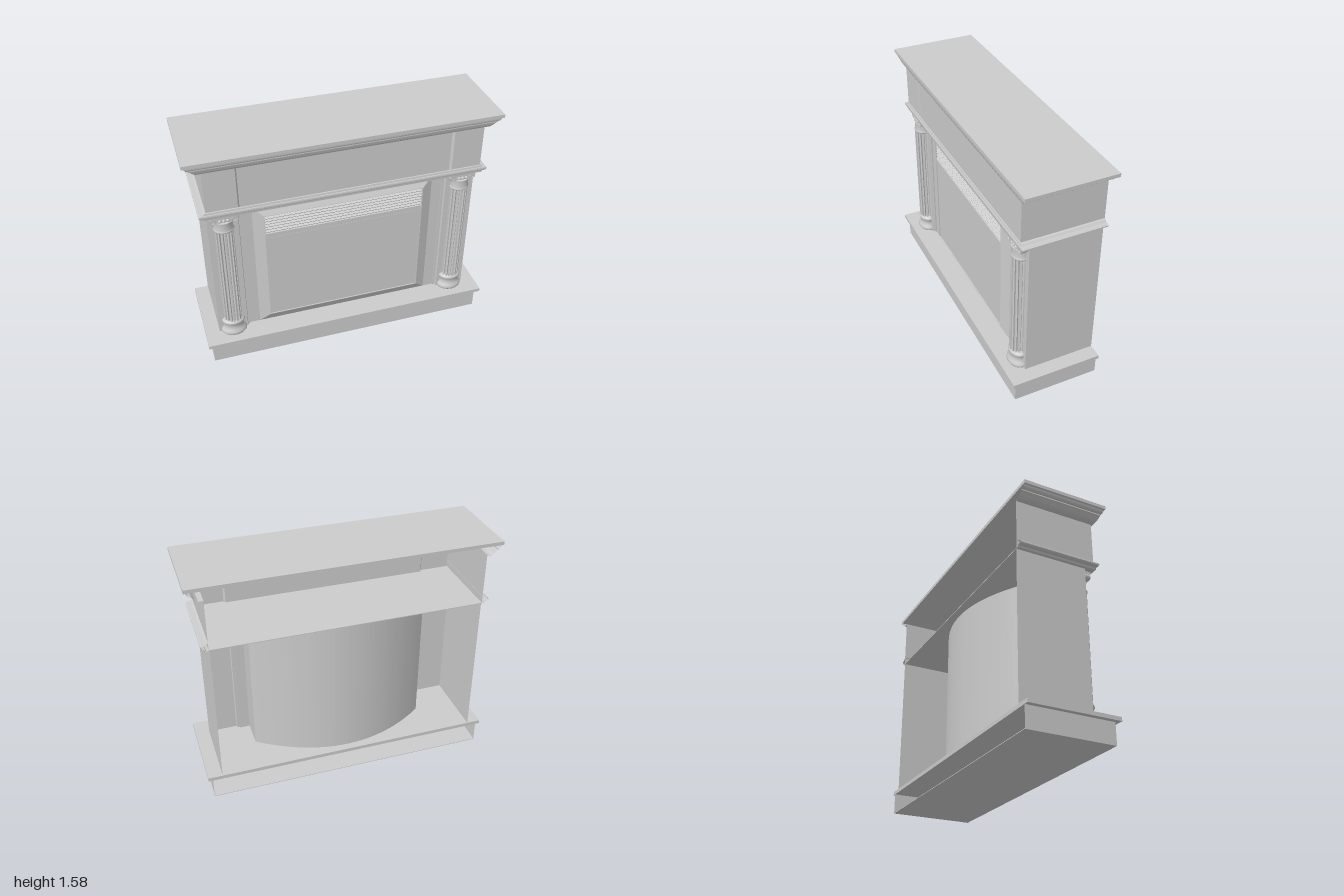
import * as THREE from 'three';

const flat = new THREE.MeshStandardMaterial({ color: 0xcccccc, flatShading: true, side: THREE.DoubleSide });
const smooth = new THREE.MeshStandardMaterial({ color: 0xcccccc, side: THREE.DoubleSide });

function mesh(parent, name, geometry, material = flat) {
  const m = new THREE.Mesh(geometry, material);
  m.name = name;
  parent.add(m);
  return m;
}

// Box given by its limits on each axis
function box(parent, name, [x0, x1], [y0, y1], [z0, z1]) {
  const m = mesh(parent, name, new THREE.BoxGeometry(x1 - x0, y1 - y0, z1 - z0));
  m.position.set((x0 + x1) / 2, (y0 + y1) / 2, (z0 + z1) / 2);
  return m;
}

// Surface through rows of [x, y, z] points, ordered left to right and bottom to top
function loft(parent, name, rows, material = flat) {
  const n = rows[0].length, index = [];
  for (let i = 0; i < rows.length - 1; i++) {
    for (let j = 0; j < n - 1; j++) {
      const a = i * n + j, b = a + 1, c = a + n, d = c + 1;
      index.push(a, b, d, a, d, c);
    }
  }
  const g = new THREE.BufferGeometry();
  g.setAttribute('position', new THREE.Float32BufferAttribute(rows.flat(2), 3));
  g.setIndex(index);
  g.computeVertexNormals();
  return mesh(parent, name, g, material);
}

// Upright sheet standing on a plan of [x, z] points
const sheet = (parent, name, plan, y0, y1, material) =>
  loft(parent, name, [y0, y1].map(y => plan.map(([x, z]) => [x, y, z])), material);

// Mirror a left-half plan to a full symmetric one
const mirrored = half => [...half, ...half.map(([x, z]) => [-x, z]).reverse()];

const BACK = -0.3;

// Moulding on the front and both sides; profile points are [outward share, y]
function moulding(parent, name, profile, x0, dx, z0, dz) {
  loft(parent, name, profile.map(([t, y]) => {
    const x = x0 + dx * t, z = z0 + dz * t;
    return [[-x, y, BACK], [-x, y, z], [x, y, z], [x, y, BACK]];
  }));
}

// Half-round lathe facing the front
function halfLathe(parent, name, profile, depth = 1) {
  const pts = profile.map(([r, y]) => new THREE.Vector2(r, y));
  const m = mesh(parent, name, new THREE.LatheGeometry(pts, 28, -Math.PI / 2, Math.PI), smooth);
  m.scale.z = depth;
}

function makeColumn() {
  const col = new THREE.Group();
  col.name = 'column';

  halfLathe(col, 'columnBase', [[0, 0.165], [0.08, 0.165], [0.087, 0.175], [0.085, 0.19], [0.076, 0.2],
    [0.069, 0.215], [0.067, 0.23], [0.07, 0.247], [0.077, 0.256], [0.077, 0.265], [0.071, 0.273],
    [0.062, 0.277], [0.061, 0.285], [0, 0.285]], 0.82);

  // Fluted half-round shaft
  const shape = new THREE.Shape();
  const steps = 96, flutes = 8;
  for (let i = 0; i <= steps; i++) {
    const a = Math.PI * i / steps;
    const r = 0.06 - 0.012 * Math.sqrt(Math.max(0, Math.sin(a * flutes * 2 - Math.PI / 2)));
    shape[i ? 'lineTo' : 'moveTo'](r * Math.cos(a), -r * Math.sin(a));
  }
  const shaft = new THREE.ExtrudeGeometry(shape, { depth: 0.75, bevelEnabled: false });
  shaft.rotateX(-Math.PI / 2);
  mesh(col, 'flutedShaft', shaft).position.y = 0.28;

  halfLathe(col, 'columnNeck', [[0, 1.02], [0.061, 1.02], [0.067, 1.026], [0.067, 1.034], [0.06, 1.04],
    [0.06, 1.09], [0.066, 1.1], [0, 1.1]], 0.92);

  // Scrolled capital
  box(col, 'capitalCushion', [-0.065, 0.065], [1.095, 1.132], [0, 0.045]);
  box(col, 'capitalTop', [-0.085, 0.085], [1.13, 1.146], [0, 0.05]);
  for (const s of [-1, 1]) {
    const drum = mesh(col, 'scrollDrum', new THREE.CylinderGeometry(0.022, 0.022, 0.044, 20));
    drum.rotation.x = Math.PI / 2;
    drum.position.set(s * 0.066, 1.115, 0.022);
    const pts = [];
    for (let i = 0; i <= 32; i++) {
      const a = Math.PI / 2 - s * i / 32 * Math.PI * 3.5, r = 0.023 - 0.017 * i / 32;
      pts.push(new THREE.Vector3(s * 0.066 + r * Math.cos(a), 1.115 + r * Math.sin(a), 0.044));
    }
    mesh(col, 'scroll', new THREE.TubeGeometry(new THREE.CatmullRomCurve3(pts), 48, 0.0035, 6), smooth);
  }
  for (const x of [-0.025, 0, 0.025]) {
    const egg = mesh(col, 'capitalBead', new THREE.SphereGeometry(0.011, 12, 8), smooth);
    egg.position.set(x, 1.112, 0.045);
  }
  return col;
}

export function createModel() {
  const model = new THREE.Group();
  model.name = 'fireplace';

  // Hollow plinth, open at the back, and hearth slab
  sheet(model, 'plinthWalls', mirrored([[-0.95, BACK], [-0.95, 0.28]]), 0, 0.14);
  box(model, 'plinthFloor', [-0.95, 0.95], [0, 0.004], [BACK, 0.28]);
  box(model, 'hearthSlab', [-0.98, 0.98], [0.14, 0.165], [BACK, 0.305]);

  // Surround: side walls, pilasters and stepped reveals
  const half = [[-0.885, BACK], [-0.885, 0.18], [-0.69, 0.18], [-0.685, 0.165], [-0.67, 0.165], [-0.67, 0.155],
    [-0.6, 0.155]];
  sheet(model, 'rightSurround', half, 0.165, 1.15);
  sheet(model, 'leftSurround', half.map(([x, z]) => [-x, z]).reverse(), 0.165, 1.15);
  sheet(model, 'header', mirrored([[-0.6, 0.155]]), 1.12, 1.15);

  // Sloped frame around the firebox
  const ring = (x, y0, y1, z) => [[-x, y0, z], [-x, y1, z], [x, y1, z], [x, y0, z], [-x, y0, z]];
  loft(model, 'fireboxFrame', [ring(0.6, 0.165, 1.12, 0.155), ring(0.53, 0.23, 1.06, 0.187),
    ring(0.527, 0.233, 1.057, 0.187), ring(0.527, 0.233, 1.057, 0.16)]);

  // Fire screen and louvred vent
  box(model, 'fireScreen', [-0.527, 0.527], [0.233, 0.882], [0.165, 0.18]);
  box(model, 'ventSill', [-0.527, 0.527], [0.888, 0.92], [0.16, 0.186]);
  box(model, 'ventBack', [-0.527, 0.527], [0.882, 1.057], [0.155, 0.16]);
  for (let i = 0; i < 6; i++) {
    const y = 0.935 + i * 0.021;
    const slat = box(model, 'ventSlat', [-0.525, 0.525], [y - 0.003, y + 0.003], [0.158, 0.184]);
    slat.rotation.x = 0.45;
  }

  // Bowed firebox casing at the back
  const bow = [[0.6, 0.155]];
  for (let i = 0; i <= 40; i++) {
    const x = 0.6 - 1.2 * i / 40;
    bow.push([x, -0.03 - 0.22 * (1 - (x / 0.6) ** 2)]);
  }
  bow.push([-0.6, 0.155]);
  sheet(model, 'fireboxCasing', bow, 0.165, 1.15);

  // Columns
  for (const s of [-1, 1]) {
    const col = makeColumn();
    col.position.set(s * 0.785, 0, 0.18);
    model.add(col);
  }

  // Middle shelf with its moulding
  box(model, 'middleShelf', [-0.89, 0.89], [1.15, 1.155], [BACK, 0.24]);
  moulding(model, 'middleMoulding', [[0, 1.15], [0.4, 1.15], [0.5, 1.162], [0.85, 1.165], [1, 1.172],
    [1, 1.18], [0.85, 1.187], [0.5, 1.188], [0.3, 1.2], [0, 1.205]], 0.885, 0.05, 0.24, 0.012);

  // Frieze with a recessed centre panel, open at the back
  sheet(model, 'frieze', mirrored([[-0.89, BACK], [-0.89, 0.24], [-0.693, 0.24], [-0.682, 0.222]]), 1.155, 1.5);

  // Cornice and mantel top
  moulding(model, 'cornice', [[0, 1.49], [0.28, 1.49], [0.42, 1.5], [0.6, 1.52], [0.66, 1.522], [0.66, 1.53],
    [0.75, 1.532], [0.83, 1.54], [0.88, 1.555]], 0.89, 0.11, 0.24, 0.04);
  box(model, 'mantelTop', [-1, 1], [1.552, 1.575], [BACK, 0.28]);

  return model;
}
